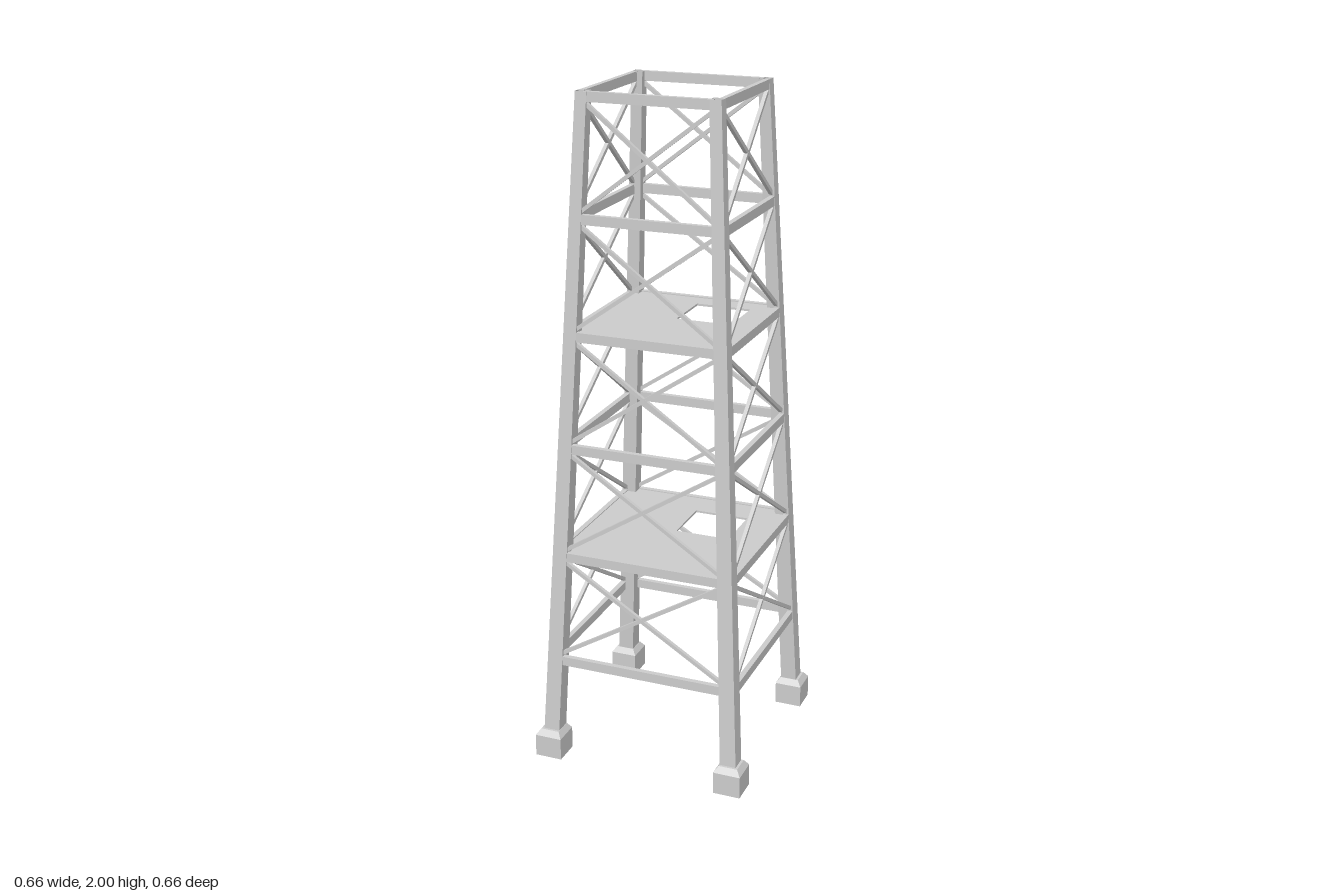
import * as THREE from 'three';

const material = new THREE.MeshStandardMaterial({ color: 0xcccccc, flatShading: true, side: THREE.DoubleSide });

const outer = (y) => 0.313 - 0.0517 * y; // outer face of the legs
const inner = (y) => 0.263 - 0.0437 * y; // inner face of the legs
const LEVELS = [1, 2, 3, 4, 5, 6].map((i) => i / 3);
const BEAM_H = 0.028, BEAM_D = 0.016, BAR = 0.011;

function add(parent, name, geometry) {
  const mesh = new THREE.Mesh(geometry, material);
  mesh.name = name;
  parent.add(mesh);
  return mesh;
}

// Open square tube through rings [y, near edge, far edge], on the x = z diagonal
function squareTube(rings) {
  const pos = [], index = [];
  for (const [y, a, b] of rings) pos.push(b, y, b, b, y, a, a, y, a, a, y, b);
  for (let r = 0; r < rings.length - 1; r++) {
    for (let j = 0; j < 4; j++) {
      const p = r * 4 + j, q = r * 4 + (j + 1) % 4;
      index.push(p, q, q + 4, p, q + 4, p + 4);
    }
  }
  const g = new THREE.BufferGeometry();
  g.setAttribute('position', new THREE.Float32BufferAttribute(pos, 3));
  g.setIndex(index);
  const flat = g.toNonIndexed();
  flat.computeVertexNormals();
  return flat;
}

// Square bar between two points
function bar(parent, name, from, to) {
  const mesh = add(parent, name, new THREE.BoxGeometry(BAR, BAR, from.distanceTo(to)));
  mesh.position.copy(from).add(to).multiplyScalar(0.5);
  mesh.lookAt(to);
}

// Tapered leg standing on a bevelled footing
function makeCorner() {
  const corner = new THREE.Group();
  add(corner, 'leg', squareTube([[0.06, inner(0.06), outer(0.06)], [2, inner(2), outer(2)]]));
  add(corner, 'foot', squareTube([
    [0, 0.246, 0.329], [0.068, 0.246, 0.329], [0.086, 0.258, 0.316], [0.086, 0.262, 0.308],
  ]));
  return corner;
}

// One face of the tower: horizontal beams with crossed braces between them
function makeSide() {
  const side = new THREE.Group();
  LEVELS.forEach((y, i) => {
    const beam = add(side, 'beam', new THREE.BoxGeometry(2 * inner(y) + 0.02, BEAM_H, BEAM_D));
    beam.position.set(0, y - BEAM_H / 2, outer(y) - BEAM_D / 2 - 0.0005);
    if (i === LEVELS.length - 1) return;
    const y0 = y + 0.008, y1 = LEVELS[i + 1] - BEAM_H - 0.006;
    for (const s of [-1, 1]) {
      bar(side, 'crossBrace',
        new THREE.Vector3(s * (inner(y0) + 0.004), y0, outer(y0) - 0.011),
        new THREE.Vector3(-s * (inner(y1) + 0.004), y1, outer(y1) - 0.011));
    }
  });
  return side;
}

// Thin floor with a square hatch towards the back left
function makePlatform(y) {
  const e = outer(y) - BEAM_D + 0.002;
  const shape = new THREE.Shape([[-e, -e], [e, -e], [e, e], [-e, e]].map((p) => new THREE.Vector2(...p)));
  const h = 0.167;
  shape.holes.push(new THREE.Path([[0, 0], [0, h], [h, h], [h, 0]].map((p) => new THREE.Vector2(...p))));
  const g = new THREE.ExtrudeGeometry(shape, { depth: 0.006, bevelEnabled: false });
  g.rotateX(-Math.PI / 2);
  g.translate(0, y - 0.009, 0);
  return g;
}

export function createModel() {
  const tower = new THREE.Group();
  tower.name = 'latticeTower';
  for (let i = 0; i < 4; i++) {
    const corner = makeCorner();
    corner.name = 'cornerPost';
    const side = makeSide();
    side.name = 'sideFrame';
    corner.rotation.y = side.rotation.y = i * Math.PI / 2;
    tower.add(corner, side);
  }
  for (const y of [LEVELS[1], LEVELS[3]]) add(tower, 'platform', makePlatform(y));
  return tower;
}
